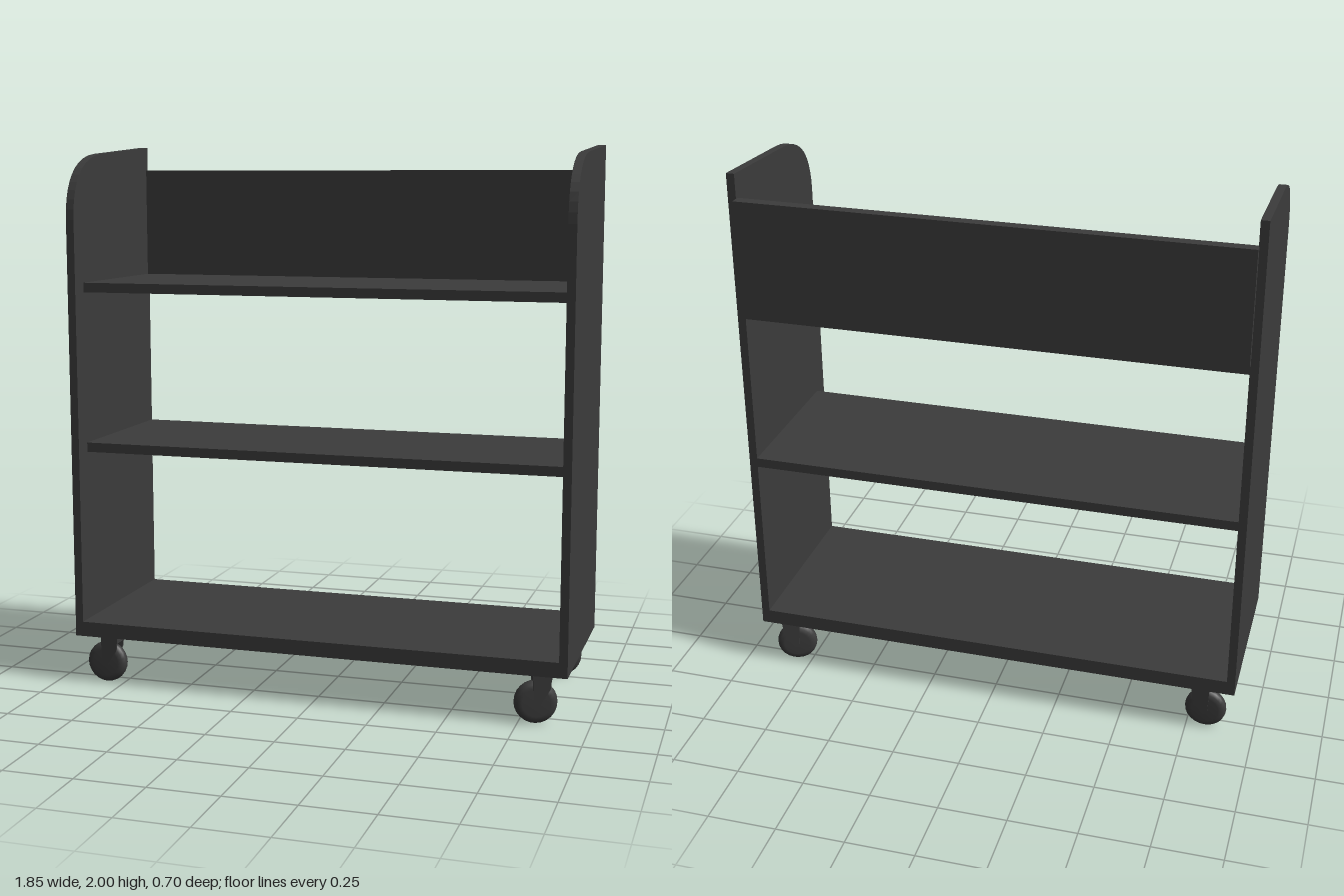
import * as THREE from 'three';

const material = new THREE.MeshStandardMaterial({ color: 0x3c3c3c });
const flat = new THREE.MeshStandardMaterial({ color: 0x3c3c3c, flatShading: true });

function add(parent, name, geometry, mat = flat) {
  const mesh = new THREE.Mesh(geometry, mat);
  mesh.name = name;
  parent.add(mesh);
  return mesh;
}

// Box given by its lower and upper limits
function box(parent, name, [x0, x1], [y0, y1], [z0, z1]) {
  const mesh = add(parent, name, new THREE.BoxGeometry(x1 - x0, y1 - y0, z1 - z0));
  mesh.position.set((x0 + x1) / 2, (y0 + y1) / 2, (z0 + z1) / 2);
  return mesh;
}

// Side panel: profile in z/y with a rounded upper front corner
function sidePanelGeometry() {
  const s = new THREE.Shape();
  s.moveTo(-0.33, 0.18);
  s.lineTo(0.345, 0.18);
  s.lineTo(0.345, 1.73);
  s.bezierCurveTo(0.345, 1.86, 0.275, 1.957, 0.1, 1.97);
  s.lineTo(-0.33, 2);
  const g = new THREE.ExtrudeGeometry(s, { depth: 0.03, bevelEnabled: false, curveSegments: 10 });
  return g.translate(0, 0, -0.015).rotateY(-Math.PI / 2);
}

// Swivel caster: wheel between two tapered fork arms, trailing its pivot
function caster() {
  const group = new THREE.Group();
  group.name = 'caster';

  const tyre = [[0, -0.024], [0.05, -0.024], [0.066, -0.021], [0.075, -0.011], [0.077, 0],
    [0.075, 0.011], [0.066, 0.021], [0.05, 0.024], [0, 0.024]];
  const wheel = add(group, 'wheel',
    new THREE.LatheGeometry(tyre.map(([r, y]) => new THREE.Vector2(r, y)), 24), material);
  wheel.rotation.x = Math.PI / 2;
  wheel.position.set(-0.02, 0.077, 0);

  const arm = new THREE.Shape();
  arm.moveTo(-0.034, 0.18);
  arm.lineTo(-0.03, 0.075);
  arm.quadraticCurveTo(-0.02, 0.058, -0.007, 0.07);
  arm.lineTo(0.028, 0.13);
  arm.lineTo(0.034, 0.18);
  for (const side of [-1, 1]) {
    const mesh = add(group, 'forkArm',
      new THREE.ExtrudeGeometry(arm, { depth: 0.006, bevelEnabled: false, curveSegments: 4 }));
    mesh.position.z = side * 0.029 - 0.003;
  }
  box(group, 'forkCrown', [-0.033, 0.033], [0.156, 0.18], [-0.028, 0.028]);

  const axle = add(group, 'axle', new THREE.CylinderGeometry(0.008, 0.008, 0.064, 10));
  axle.rotation.x = Math.PI / 2;
  axle.position.set(-0.02, 0.077, 0);
  return group;
}

export function createModel() {
  const model = new THREE.Group();
  model.name = 'shelfCart';

  // Side panels
  const panel = sidePanelGeometry();
  for (const side of [-1, 1]) {
    add(model, side > 0 ? 'leftPanel' : 'rightPanel', panel).position.x = side * 0.91;
  }

  // Shelves and back board
  const inner = [-0.897, 0.897];
  box(model, 'bottomShelf', inner, [0.18, 0.235], [-0.33, 0.345]);
  box(model, 'middleShelf', inner, [0.87, 0.905], [-0.33, 0.275]);
  box(model, 'topShelf', inner, [1.465, 1.5], [-0.33, 0.275]);
  box(model, 'backBoard', inner, [1.5, 1.91], [-0.355, -0.315]);

  // Casters, with the left pair swivelled slightly
  for (const z of [-0.281, 0.297]) {
    for (const [x, swivel] of [[-0.798, 0], [0.828, 0.3]]) {
      const c = caster();
      c.position.set(x, 0, z);
      c.rotation.y = swivel;
      model.add(c);
    }
  }
  return model;
}
